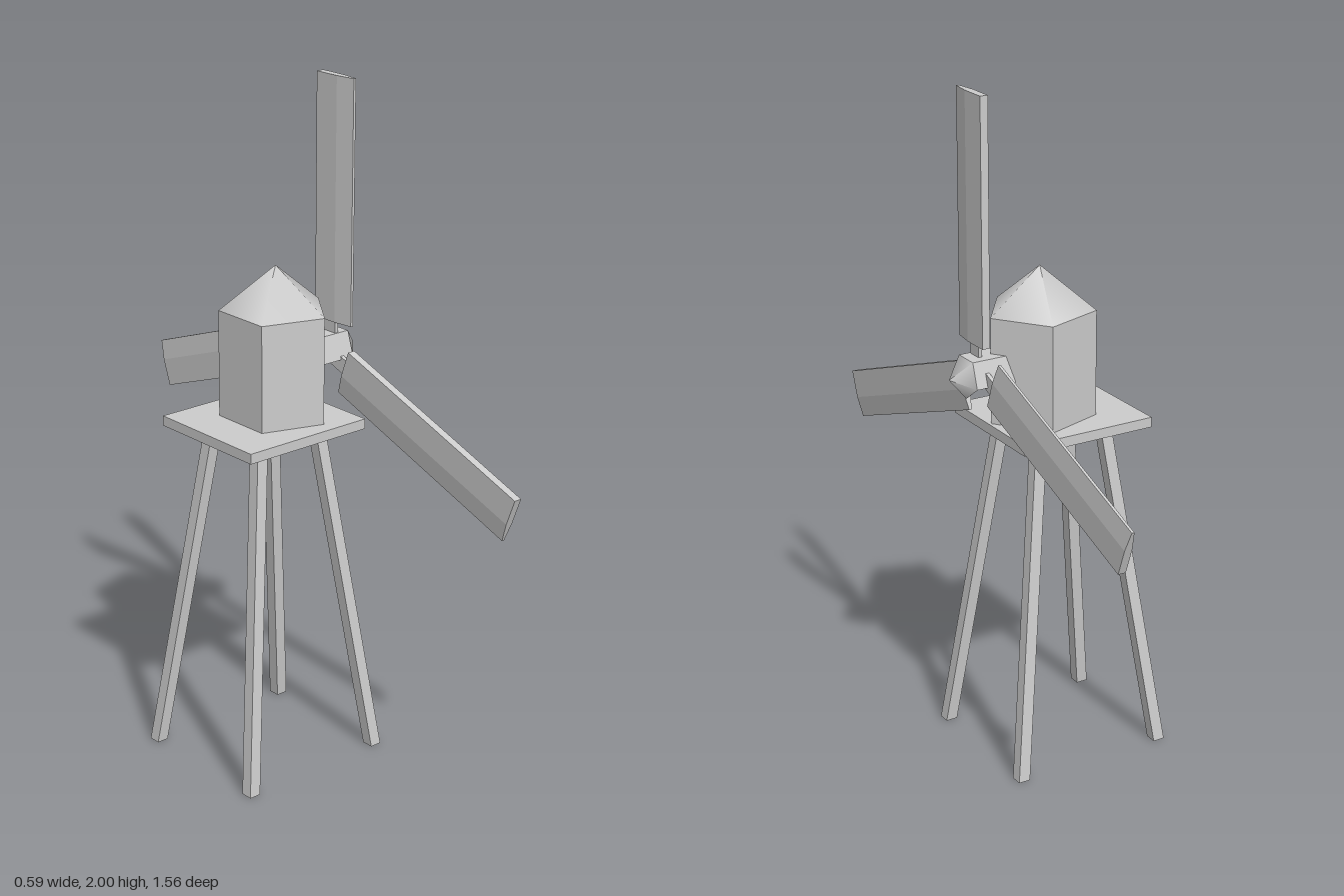
import * as THREE from 'three';

const flat = new THREE.MeshStandardMaterial({ color: 0xcccccc, flatShading: true });
const smooth = new THREE.MeshStandardMaterial({ color: 0xcccccc });
const flatDouble = new THREE.MeshStandardMaterial({ color: 0xcccccc, flatShading: true, side: THREE.DoubleSide });

function add(parent, name, geometry, material, x = 0, y = 0, z = 0) {
  const mesh = new THREE.Mesh(geometry, material);
  mesh.name = name;
  mesh.position.set(x, y, z);
  parent.add(mesh);
  return mesh;
}

// Square post sheared so both ends stay level
function legGeometry(bottom, top, height, size) {
  const g = new THREE.BoxGeometry(size, height, size);
  const p = g.attributes.position;
  for (let i = 0; i < p.count; i++) {
    const [x, z] = p.getY(i) > 0 ? top : bottom;
    p.setXYZ(i, p.getX(i) + x, p.getY(i) + height / 2, p.getZ(i) + z);
  }
  g.computeVertexNormals();
  return g;
}

// Flat sail with one edge bevelled thin
function sailGeometry() {
  const s = new THREE.Shape([
    [-0.012, 0.063], [-0.012, -0.02], [-0.004, -0.081],
    [0.004, -0.081], [0.012, -0.02], [0.012, 0.063],
  ].map(([x, y]) => new THREE.Vector2(x, y + 0.0 - 0.014)));
  const g = new THREE.ExtrudeGeometry(s, { depth: 0.715, bevelEnabled: false });
  g.rotateX(-Math.PI / 2);
  g.translate(0, 0.088, 0);
  return g;
}

export function createModel() {
  const model = new THREE.Group();
  model.name = 'windmill';

  // Four splayed legs
  const zc = 0.01;
  for (const [bx, tx] of [[-0.28, -0.15], [0.192, 0.062]])
    for (const s of [1, -1])
      add(model, 'leg', legGeometry([bx, zc + s * 0.217], [tx, zc + s * 0.1], 1.02, 0.036), flat);

  // Deck
  add(model, 'platform', new THREE.BoxGeometry(0.424, 0.03, 0.392), flat, -0.043, 1.025, 0.005);

  // Five-sided house and its pointed roof
  add(model, 'house', new THREE.CylinderGeometry(0.161, 0.161, 0.315, 5, 1, false, Math.PI / 2),
    flat, 0, 1.1975, 0.005);
  add(model, 'roof', new THREE.ConeGeometry(0.161, 0.13, 5, 1, false, Math.PI / 2),
    smooth, 0, 1.42, 0.005);

  // Rotor: shaft cover, nose cone and three sails
  const rotor = new THREE.Group();
  rotor.name = 'rotor';
  rotor.position.set(0.2, 1.197, 0.006);
  model.add(rotor);

  const fifth = Math.PI * 2 / 5;
  const shaft = new THREE.CylinderGeometry(0.066, 0.066, 0.15, 3, 1, true, Math.PI / 2 + fifth, 3 * fifth);
  shaft.rotateZ(-Math.PI / 2);
  add(rotor, 'shaft', shaft, flatDouble, -0.035, 0, 0);

  const nose = new THREE.ConeGeometry(0.066, 0.055, 5, 1, false, Math.PI / 2);
  nose.rotateZ(-Math.PI / 2);
  add(rotor, 'noseCone', nose, smooth, 0.0675, 0, 0);

  const sail = sailGeometry();
  for (const degrees of [0, 110, -110]) {
    const arm = new THREE.Group();
    arm.name = 'sailArm';
    arm.rotation.x = THREE.MathUtils.degToRad(degrees);
    rotor.add(arm);
    add(arm, 'sail', sail, flat, 0, 0, 0.004);
    add(arm, 'sailStem', new THREE.BoxGeometry(0.012, 0.08, 0.045), flat, 0, 0.06, 0.012);
  }
  return model;
}
